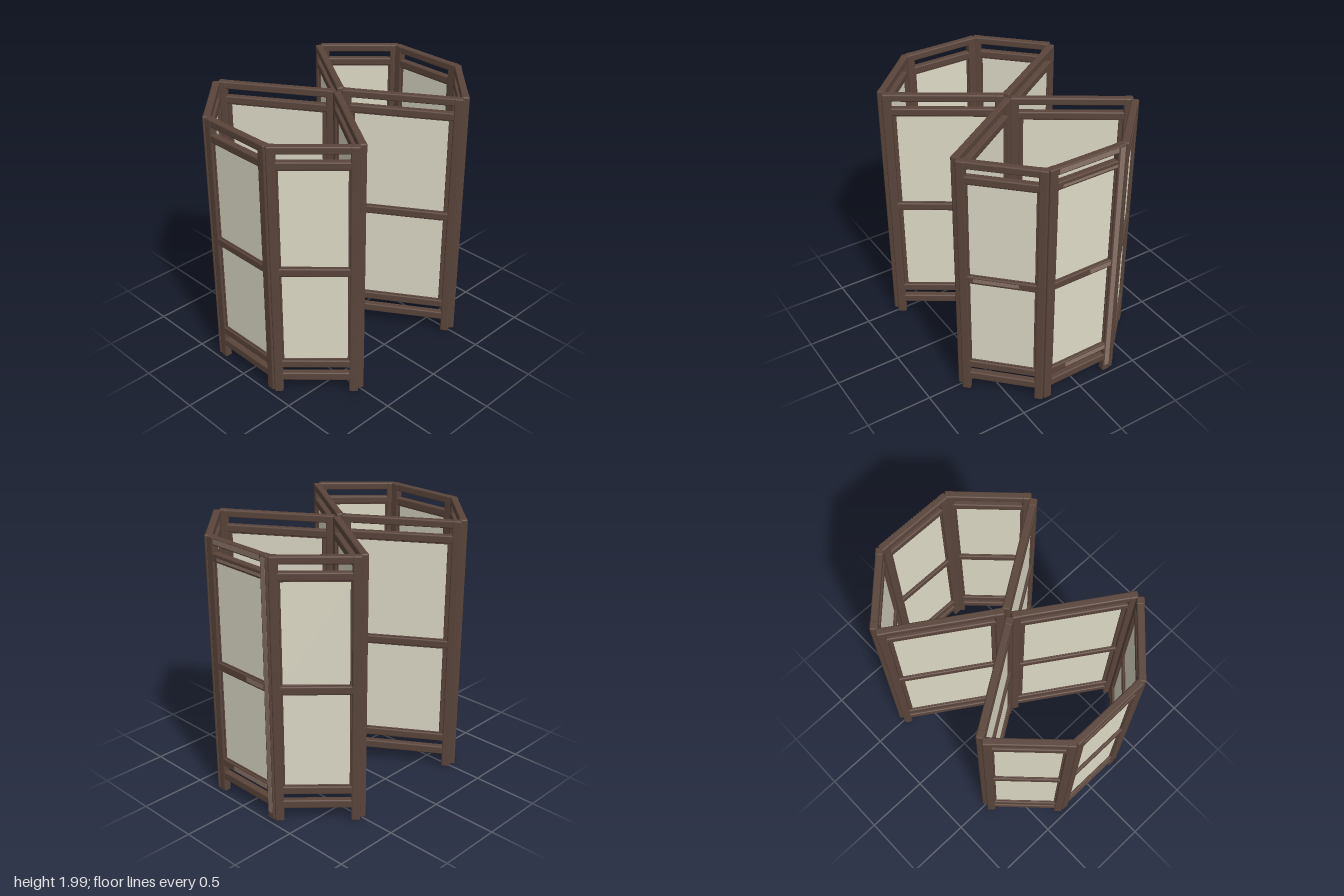
import * as THREE from 'three';
import { RoundedBoxGeometry } from 'three/addons/geometries/RoundedBoxGeometry.js';

function material(name, color) {
  const m = new THREE.MeshStandardMaterial({ color });
  m.name = name;
  return m;
}
const wood = material('dark wood', 0x5a453b);
const wornWood = material('worn wood', 0x8a7468);
const paper = material('cream paper', 0xdedac7);

const POST_W = 0.064, POST_T = 0.056, RAIL_T = 0.052;

// lower and upper edge of each rail
const RAILS = {
  bottomRail: [0.11, 0.175],
  lowerRail: [0.225, 0.288],
  middleRail: [1.012, 1.072],
  upperRail: [1.825, 1.884],
  topRail: [1.938, 1.994],
};
// lower and upper edge of each paper field
const FIELDS = { lowerPaper: [0.288, 1.012], upperPaper: [1.072, 1.825] };

function bar(name, w, h, d, x, y) {
  const mesh = new THREE.Mesh(new RoundedBoxGeometry(w, h, d, 2, 0.2 * Math.min(w, h, d)), wood);
  mesh.name = name;
  mesh.position.set(x, y, 0);
  return mesh;
}

// One framed leaf of the folding screen, lying along local x
function makeLeaf(name, length, beadW) {
  const leaf = new THREE.Group();
  leaf.name = name;
  const inner = length - 2 * POST_W;

  // Upright posts, which run down into the feet
  for (const s of [-1, 1]) {
    leaf.add(bar('post', POST_W, 1.99, POST_T, s * (length - POST_W) / 2, 1.0));
  }

  // Cross rails, tucked slightly into the posts
  for (const [key, [y0, y1]] of Object.entries(RAILS)) {
    leaf.add(bar(key, inner + 0.03, y1 - y0, RAIL_T, 0, (y0 + y1) / 2));
  }

  // Paper fields with a narrow bead around the edge
  for (const [key, [y0, y1]] of Object.entries(FIELDS)) {
    const h = y1 - y0, y = (y0 + y1) / 2;
    const sheet = new THREE.Mesh(new THREE.BoxGeometry(inner, h, 0.009), paper);
    sheet.name = key;
    sheet.position.y = y;
    leaf.add(sheet);
    for (const s of [-1, 1]) {
      leaf.add(bar('sideBead', beadW, h, 0.026, s * (inner - beadW) / 2, y));
      leaf.add(bar('endBead', inner, 0.012, 0.026, 0, y + s * (h / 2 - 0.003)));
    }
  }
  return leaf;
}

// Thin patch of rubbed wood on one face of a leaf
function addWear(leaf, x0, x1, y0, y1, z) {
  const patch = new THREE.Mesh(new THREE.BoxGeometry(x1 - x0, y1 - y0, 0.004), wornWood);
  patch.name = 'wornPatch';
  patch.position.set((x0 + x1) / 2, (y0 + y1) / 2, z);
  leaf.add(patch);
}

export function createModel() {
  const model = new THREE.Group();
  model.name = 'foldingScreen';

  const place = (name, length, beadW, x, z, dx, dz) => {
    const leaf = makeLeaf(name, length, beadW);
    leaf.position.set(x, 0, z);
    leaf.rotation.y = -Math.atan2(dz, dx);
    model.add(leaf);
    return leaf;
  };

  // Two hexagonal halves, mirrored left-right and front-back
  for (const sx of [-1, 1]) {
    const side = sx > 0 ? 'left' : 'right';
    for (const sz of [-1, 1]) {
      const end = sz > 0 ? 'Front' : 'Back';
      place(side + end + 'InnerLeaf', 0.86, 0.03, sx * 0.264, sz * 0.366, sx * 0.55, sz * 0.835);
      const outer = place(side + end + 'OuterLeaf', 0.605, 0.012, sx * 0.736, sz * 0.511, sx, -sz);
      // Rubbed middle rail on the front left leaf
      if (sx > 0 && sz > 0) addWear(outer, -0.2, 0.12, 1.03, 1.058, RAIL_T / 2);
    }
    const sideLeaf = place(side + 'SideLeaf', 0.6, 0.012, sx * 0.94, 0, 0, 1);
    // Rubbed back post and rails on the outside of the left leaf
    if (sx > 0) {
      addWear(sideLeaf, -0.288, -0.248, 0.06, 1.98, -POST_T / 2);
      addWear(sideLeaf, -0.236, 0.23, 1.95, 1.984, -RAIL_T / 2);
      addWear(sideLeaf, -0.236, 0.2, 1.838, 1.856, -RAIL_T / 2);
      addWear(sideLeaf, -0.236, -0.06, 1.026, 1.06, -RAIL_T / 2);
      addWear(sideLeaf, -0.236, 0.12, 0.238, 0.274, -RAIL_T / 2);
    }
  }
  return model;
}
